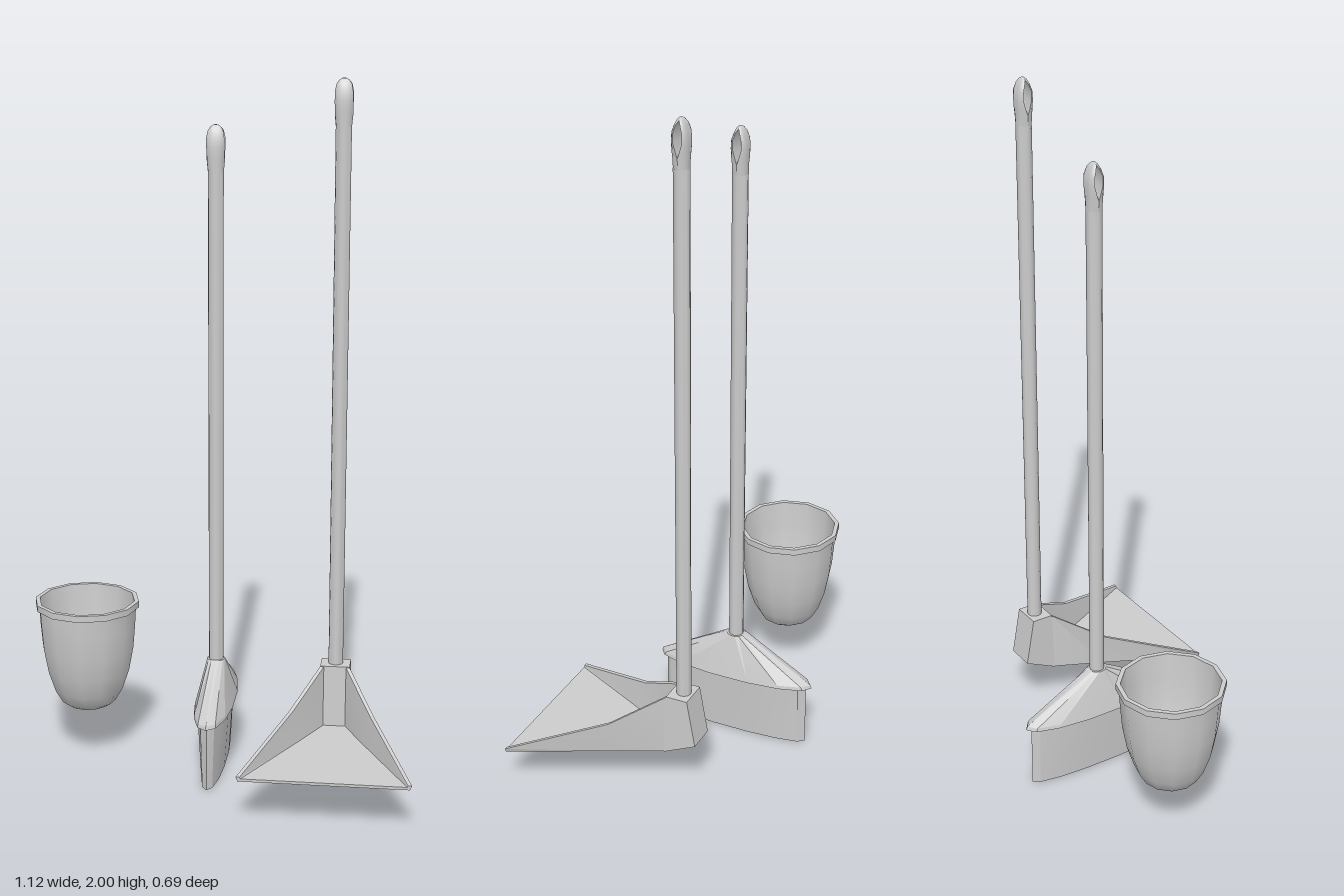
import * as THREE from 'three';
import { toCreasedNormals } from 'three/addons/utils/BufferGeometryUtils.js';

const material = new THREE.MeshStandardMaterial({ color: 0xcccccc });

function part(name, geometry, parent, crease = 0.7) {
  const mesh = new THREE.Mesh(toCreasedNormals(geometry, crease), material);
  mesh.name = name;
  parent.add(mesh);
  return mesh;
}

// Joins equal-sized closed rings of [x, y, z] points; ends are capped with strips folded across each ring.
function loft(rings) {
  const n = rings[0].length;
  const points = rings.flat();
  const last = (rings.length - 1) * n;
  const index = [];
  const quad = (a, b, c, d) => index.push(a, b, c, a, c, d);
  for (let r = 0; r < rings.length - 1; r++) {
    for (let i = 0; i < n; i++) {
      const j = (i + 1) % n;
      quad(r * n + i, r * n + j, (r + 1) * n + j, (r + 1) * n + i);
    }
  }
  for (let i = 0; i < n / 2 - 1; i++) {
    quad(n - 1 - i, n - 2 - i, i + 1, i);
    quad(last + i, last + i + 1, last + n - 2 - i, last + n - 1 - i);
  }
  // Turn the faces outward when the enclosed volume comes out negative
  const v = points.map((p) => new THREE.Vector3(...p));
  let volume = 0;
  for (let i = 0; i < index.length; i += 3) {
    volume += v[index[i]].dot(v[index[i + 1]].clone().cross(v[index[i + 2]]));
  }
  if (volume < 0) index.reverse();
  const geometry = new THREE.BufferGeometry();
  geometry.setAttribute('position', new THREE.Float32BufferAttribute(points.flat(), 3));
  geometry.setIndex(index);
  geometry.computeVertexNormals();
  return geometry;
}

// Long pole whose end splits into two halves around a hanging hole
function makeHandle(bottom, top) {
  const handle = new THREE.Group();
  handle.name = 'handle';
  const length = top - 0.13 - bottom;
  const pole = part('pole', new THREE.CylinderGeometry(0.022, 0.021, length, 12), handle);
  pole.position.y = bottom + length / 2;

  // [distance below top, half width, outer depth, hole half depth]
  const levels = [
    [0.13, 0.022, 0.022, 0], [0.1, 0.025, 0.023, 0], [0.085, 0.025, 0.024, 0.005],
    [0.06, 0.025, 0.024, 0.012], [0.035, 0.025, 0.022, 0.012], [0.015, 0.021, 0.015, 0.006],
    [0.005, 0.014, 0.01, 0], [0, 0.006, 0.005, 0],
  ];
  for (const side of [1, -1]) {
    const rings = levels.map(([down, width, outer, hole]) => {
      const ring = [];
      for (let i = 0; i < 8; i++) {
        const a = (i / 7) * Math.PI;
        ring.push([width * Math.cos(a), top - down, side * (hole + (outer - hole) * Math.sin(a))]);
      }
      return ring;
    });
    part('hangingLoopHalf', loft(rings), handle, 0.8);
  }
  return handle;
}

// Pointed oval outline of the broom head, starting at one tip
function ovalRing(y, halfWidth, halfLength) {
  const quarter = [[0, 1], [0.45, 0.92], [0.8, 0.64], [0.98, 0.25]];
  const right = [...quarter, ...quarter.slice(1).reverse().map(([x, z]) => [x, -z])];
  const left = right.map(([x, z]) => [-x, -z]);
  return [...right, ...left].map(([x, z]) => [x * halfWidth, y, z * halfLength]);
}

function makeBucket() {
  const bucket = new THREE.Group();
  bucket.name = 'bucket';
  const profile = [
    [0, 0.16], [0.062, 0.16], [0.08, 0.172], [0.102, 0.21], [0.122, 0.27], [0.135, 0.34],
    [0.141, 0.41], [0.144, 0.462], [0.153, 0.464], [0.153, 0.483], [0.14, 0.483],
    [0.135, 0.41], [0.128, 0.34], [0.114, 0.27], [0.095, 0.215], [0.072, 0.183], [0, 0.175],
  ].map(([r, y]) => new THREE.Vector2(r, y));
  part('bucketShell', new THREE.LatheGeometry(profile, 12), bucket, 0.85);
  bucket.position.set(-0.41, 0, -0.103);
  return bucket;
}

function makeBroom() {
  const broom = new THREE.Group();
  broom.name = 'broom';
  broom.add(makeHandle(0.3, 1.87));
  part('bristles', loft([ovalRing(0, 0.032, 0.225), ovalRing(0.195, 0.045, 0.225)]), broom, 0.3);
  part('broomCap', loft([
    ovalRing(0.19, 0.057, 0.2425), ovalRing(0.2, 0.055, 0.238), ovalRing(0.318, 0.026, 0.026),
  ]), broom, 0.25);
  broom.position.set(-0.03, 0, -0.103);
  return broom;
}

function makeDustpan() {
  const dustpan = new THREE.Group();
  dustpan.name = 'dustpan';
  const handle = makeHandle(0.3, 2);
  handle.position.z = -0.103;
  dustpan.add(handle);

  // Slanted socket block behind the tray
  const outline = new THREE.Shape([
    [0.068, 0.32], [0.132, 0.32], [0.157, 0.178], [0.06, 0.132],
  ].map(([back, y]) => new THREE.Vector2(back, y)));
  const block = new THREE.ExtrudeGeometry(outline, { depth: 0.085, bevelEnabled: false });
  block.translate(0, 0, -0.0425).rotateY(Math.PI / 2);
  part('handleSocket', block, dustpan);

  // Flaring tray: [z, top half width, floor half width, wall top]
  const rings = [
    [-0.068, 0.043, 0.036, 0.318], [0.075, 0.12, 0.104, 0.233], [0.342, 0.241, 0.236, 0.145],
  ].map(([z, top, floor, y]) => [
    [-top, y, z], [-floor, 0.132, z], [floor, 0.132, z], [top, y, z],
    [top - 0.011, y, z], [floor - 0.008, 0.14, z], [-floor + 0.008, 0.14, z], [-top + 0.011, y, z],
  ]);
  part('tray', loft(rings), dustpan, 0.15);
  dustpan.position.x = 0.32;
  return dustpan;
}

export function createModel() {
  const model = new THREE.Group();
  model.name = 'cleaningSet';
  model.add(makeBucket(), makeBroom(), makeDustpan());
  return model;
}
